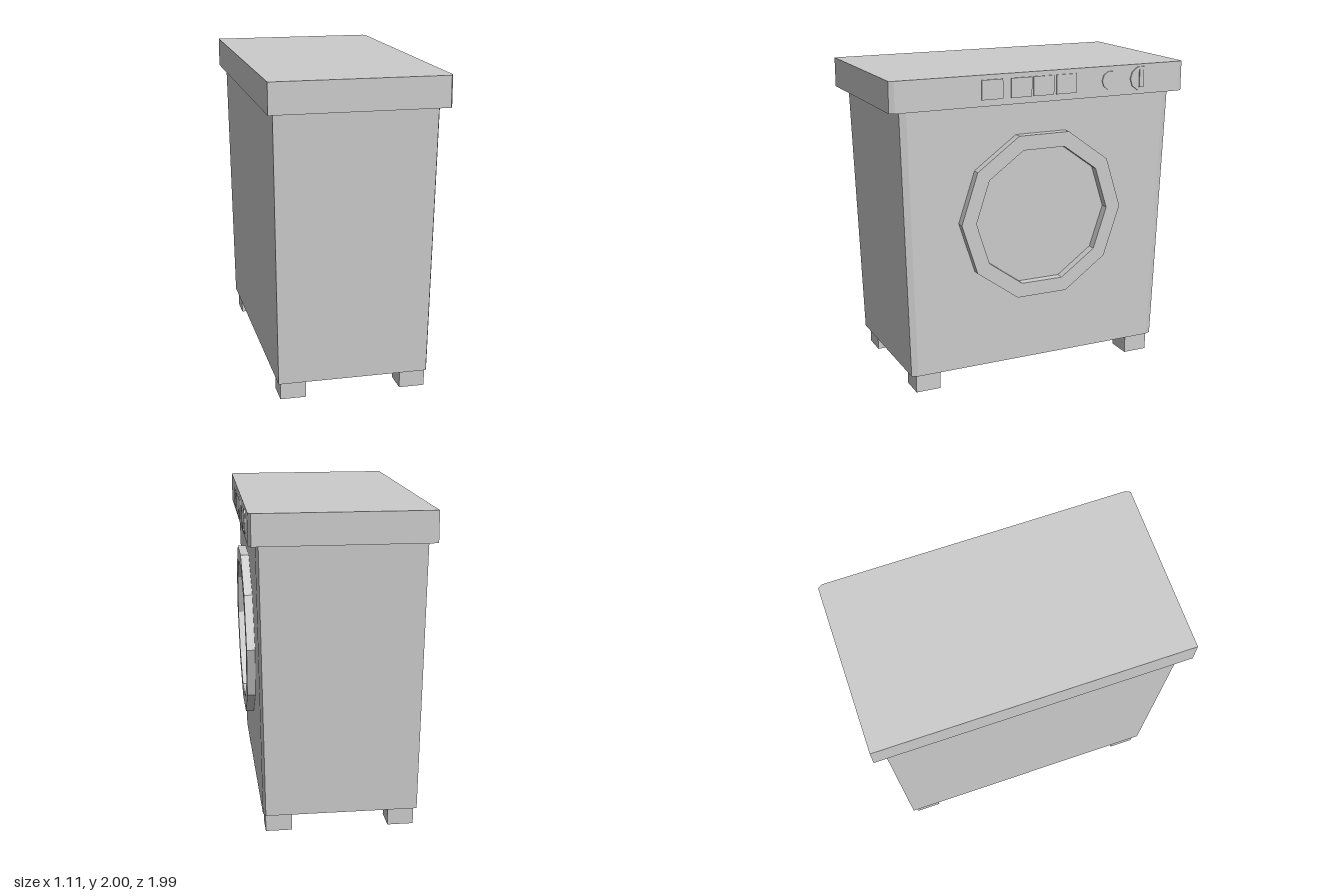
import * as THREE from 'three';

const grey = new THREE.MeshStandardMaterial({ color: 0xcccccc, flatShading: true });

export function createModel() {
  const group = new THREE.Group();
  group.name = 'washingMachine';

  const add = (name, geometry, x = 0, y = 0, z = 0) => {
    const mesh = new THREE.Mesh(geometry, grey);
    mesh.name = name;
    mesh.position.set(x, y, z);
    group.add(mesh);
    return mesh;
  };

  // Upright slab whose two door-side (+x) corners are chamfered
  const slab = (x0, x1, halfZ, height, dx, dz) => {
    const shape = new THREE.Shape([
      [x0, -halfZ], [x1 - dx, -halfZ], [x1, -halfZ + dz],
      [x1, halfZ - dz], [x1 - dx, halfZ], [x0, halfZ],
    ].map(([x, z]) => new THREE.Vector2(x, z)));
    return new THREE.ExtrudeGeometry(shape, { depth: height, bevelEnabled: false })
      .rotateX(-Math.PI / 2);
  };

  // Body, narrowing towards the floor
  const bodyH = 1.695;
  const body = slab(-0.515, 0.495, 0.92, bodyH, 0.016, 0.04);
  const p = body.attributes.position;
  for (let i = 0; i < p.count; i++) {
    const k = 0.948 + 0.052 * (p.getY(i) / bodyH);
    p.setX(i, (p.getX(i) + 0.01) * k - 0.01);
    p.setZ(i, p.getZ(i) * k);
  }
  body.computeVertexNormals();
  add('body', body, 0, 0.115, 0);

  // Overhanging top with the control strip
  add('top', slab(-0.555, 0.54, 0.995, 0.19, 0.016, 0.03), 0, 1.81, 0);

  // Ten-sided door ring, lying on the sloped front
  const decagon = (r) => Array.from({ length: 10 }, (_, i) => {
    const a = (i / 10) * Math.PI * 2;
    return new THREE.Vector2(r * Math.cos(a), r * Math.sin(a));
  });
  const ringShape = new THREE.Shape(decagon(0.553));
  ringShape.holes.push(new THREE.Path(decagon(0.456)));
  const ring = new THREE.ExtrudeGeometry(ringShape, { depth: 0.06, bevelEnabled: false })
    .rotateY(Math.PI / 2);
  add('doorRing', ring, 0.476, 1.085, 0).rotation.z = -0.015;

  // Square buttons
  for (const z of [0.35, 0.157, 0.007, -0.149]) {
    add('button', new THREE.BoxGeometry(0.02, 0.12, 0.138), 0.538, 1.91, z);
  }

  // Round knobs, the larger one with a grip bar
  const knob = (r, h) => new THREE.CylinderGeometry(r * 0.96, r, h, 10).rotateZ(-Math.PI / 2);
  add('smallKnob', knob(0.062, 0.02), 0.536, 1.91, -0.46);
  add('largeKnob', knob(0.08, 0.02), 0.537, 1.91, -0.68);
  add('knobGrip', new THREE.BoxGeometry(0.02, 0.11, 0.03), 0.545, 1.91, -0.68);

  // Feet
  for (const x of [-0.392, 0.372]) {
    for (const z of [-0.76, 0.76]) {
      add('foot', new THREE.BoxGeometry(0.162, 0.13, 0.162), x, 0.065, z);
    }
  }
  return group;
}
